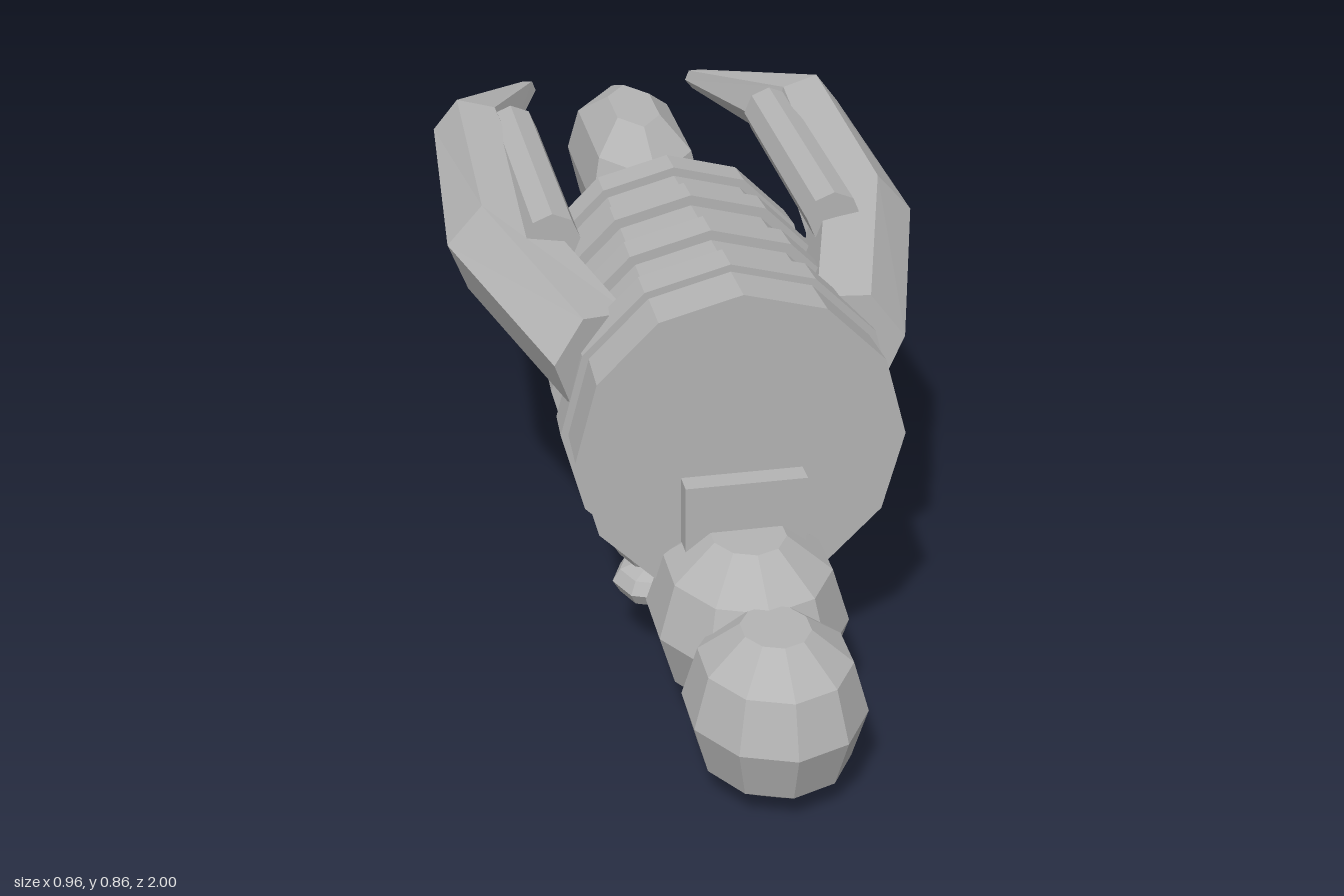
import * as THREE from 'three';

const grey = new THREE.MeshStandardMaterial({ color: 0xb4b4b4, flatShading: true });
grey.name = 'grey';

function add(parent, name, geometry, x = 0, y = 0, z = 0) {
  const mesh = new THREE.Mesh(geometry, grey);
  mesh.name = name;
  mesh.position.set(x, y, z);
  parent.add(mesh);
  return mesh;
}

// Closed skin through sections that run from front (+z) to back, counterclockwise seen from the front
function loft(sections) {
  const pos = [];
  const n = sections[0].length;
  const tri = (...pts) => pts.forEach((p) => pos.push(p.x, p.y, p.z));
  const centre = (s) => s.reduce((c, p) => c.add(p), new THREE.Vector3()).divideScalar(n);
  const first = sections[0], last = sections[sections.length - 1];
  const c0 = centre(first), c1 = centre(last);
  for (let i = 0; i < n; i++) {
    const j = (i + 1) % n;
    tri(c0, first[i], first[j]);
    tri(c1, last[j], last[i]);
    for (let k = 0; k < sections.length - 1; k++) {
      const a = sections[k], b = sections[k + 1];
      tri(a[i], b[i], b[j]);
      tri(a[i], b[j], a[j]);
    }
  }
  const g = new THREE.BufferGeometry();
  g.setAttribute('position', new THREE.Float32BufferAttribute(pos, 3));
  g.computeVertexNormals();
  return g;
}

// Faceted ball with flat poles
function blob(sides, rx, ry, rz) {
  const rows = [[0, -0.93], [0.38, -0.93], [0.83, -0.58], [1, 0], [0.83, 0.58], [0.38, 0.93], [0, 0.93]];
  const g = new THREE.LatheGeometry(rows.map(([r, y]) => new THREE.Vector2(r, y)), sides);
  return g.scale(rx, ry, rz);
}

// Twelve-sided hull section with the bottom corner cut flat
function hullSection(z, r) {
  const pts = [];
  for (let k = 0; k < 12; k++) {
    if (k === 6) continue;
    const a = Math.PI / 2 + (k * Math.PI) / 6;
    pts.push(new THREE.Vector3(Math.cos(a) * r, 0.537 + Math.sin(a) * r, z));
  }
  return pts;
}

// Six-sided arm section
function armSection([x, y, z, rx, ry, skew], side) {
  const pts = [];
  for (let k = 0; k < 6; k++) {
    const a = ((10 + 60 * k) * Math.PI) / 180;
    pts.push(new THREE.Vector3(side * (x + Math.cos(a) * rx), y + Math.sin(a) * ry, z + Math.cos(a) * skew));
  }
  return side > 0 ? pts : pts.reverse();
}

export function createModel() {
  const model = new THREE.Group();
  model.name = 'model';

  // Tapered hull with raised ribs
  const hullRadius = (z) => 0.27 + (z + 0.3) * 0.055;
  add(model, 'hull', loft([hullSection(0.5, 0.318), hullSection(0.35, 0.312), hullSection(0.3, hullRadius(0.3)), hullSection(-0.3, 0.27)]));
  for (const [front, back, r] of [[0.385, 0.305, 0.328], [0.2, 0.12, 0.318], [0, -0.075, 0.308], [-0.18, -0.26, 0.295]]) {
    add(model, 'rib', loft([hullSection(front, r), hullSection(back, r - 0.004)]));
  }

  // Mirrored arms, each with a tube lying along it
  const arm = [
    [0.245, 0.675, 0.35, 0.095, 0.1, 0.05],
    [0.37, 0.72, -0.09, 0.112, 0.105, 0],
    [0.37, 0.772, -0.58, 0.08, 0.09, -0.02],
    [0.2, 0.728, -0.95, 0.025, 0.025, 0.01],
  ];
  for (const side of [1, -1]) {
    const label = side > 0 ? 'left' : 'right';
    add(model, label + 'Arm', loft(arm.map((s) => armSection(s, side))));
    const tube = new THREE.CylinderGeometry(0.055, 0.055, 0.6, 8).rotateX(Math.PI / 2);
    add(model, label + 'Tube', tube, side * 0.285, 0.79, -0.26);
  }

  // Tail pod
  add(model, 'tailPod', blob(6, 0.142, 0.168, 0.345), 0, 0.632, -0.655);

  // Head, neck and the block behind them
  add(model, 'head', blob(10, 0.172, 0.175, 0.2), 0, 0.163, 0.8);
  add(model, 'neck', blob(10, 0.193, 0.184, 0.235), 0, 0.215, 0.555);
  add(model, 'neckBlock', new THREE.BoxGeometry(0.28, 0.22, 0.3), 0, 0.185, 0.41);

  // Plate on the hull front
  add(model, 'frontPlate', new THREE.BoxGeometry(0.235, 0.2, 0.06), 0, 0.385, 0.515);

  // Two small lobes on the right side
  for (const y of [0.245, 0.16]) {
    add(model, 'sideLobe', blob(8, 0.09, 0.044, 0.09), -0.13, y, 0.31);
  }

  return model;
}
